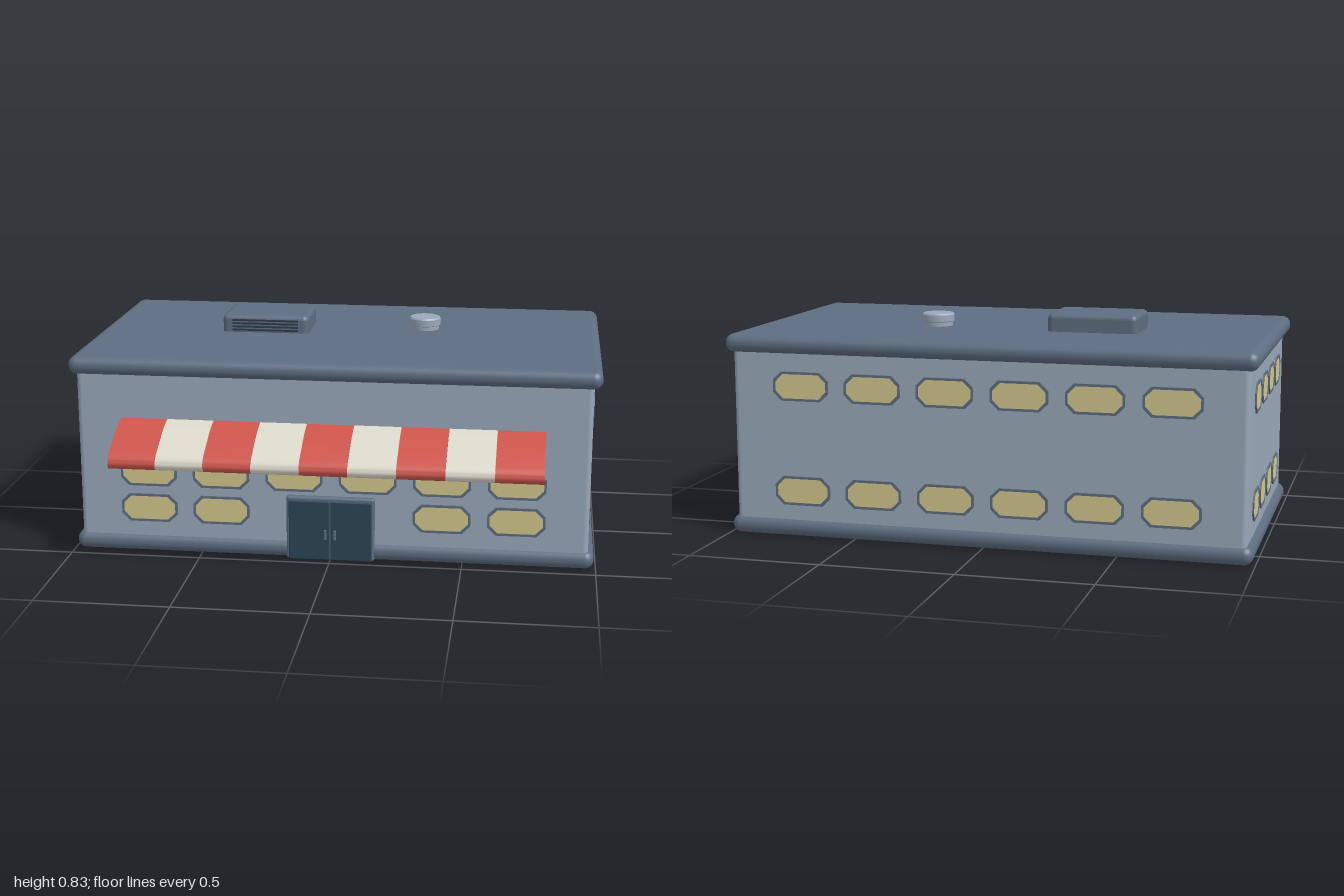
import * as THREE from 'three';
import { RoundedBoxGeometry } from 'three/addons/geometries/RoundedBoxGeometry.js';
import { toCreasedNormals } from 'three/addons/utils/BufferGeometryUtils.js';

const material = (name, color) => {
  const m = new THREE.MeshStandardMaterial({ color });
  m.name = name;
  return m;
};

export function createModel() {
  const wallGrey = material('wall grey', 0x9aa8ba);
  const slate = material('slate trim', 0x5d6d80);
  const glassYellow = material('window yellow', 0xd2c68c);
  const red = material('awning red', 0xcf554c);
  const cream = material('awning cream', 0xdcd9cc);
  const doorBlue = material('door blue', 0x2c4555);
  const dark = material('vent dark', 0x2f3b48);

  const model = new THREE.Group();
  model.name = 'shopBuilding';

  const add = (parent, name, geometry, mat, x = 0, y = 0, z = 0) => {
    const mesh = new THREE.Mesh(geometry, mat);
    mesh.name = name;
    mesh.position.set(x, y, z);
    parent.add(mesh);
    return mesh;
  };
  const rounded = (w, h, d, r) => new RoundedBoxGeometry(w, h, d, 4, r);

  // Walls between a rounded plinth and a rounded roof slab
  const midZ = -0.1;
  add(model, 'walls', rounded(1.94, 0.71, 1.09, 0.02), wallGrey, 0, 0.38, midZ);
  add(model, 'plinth', rounded(1.985, 0.07, 1.12, 0.034), slate, 0, 0.035, midZ);
  add(model, 'roof', rounded(2, 0.07, 1.13, 0.034), slate, 0, 0.73, midZ);

  // Windows: cut-corner frame with a slightly recessed pane
  const octagon = (Type, w, h, c) => {
    const x = w / 2, y = h / 2;
    return new Type([
      [-x + c, -y], [x - c, -y], [x, -y + c], [x, y - c],
      [x - c, y], [-x + c, y], [-x, y - c], [-x, -y + c],
    ].map(([a, b]) => new THREE.Vector2(a, b)));
  };
  const windowParts = (w, h) => {
    const frame = octagon(THREE.Shape, w, h, 0.032);
    frame.holes.push(octagon(THREE.Path, w - 0.018, h - 0.018, 0.029));
    const pane = octagon(THREE.Shape, w - 0.016, h - 0.016, 0.029);
    return [
      new THREE.ExtrudeGeometry(frame, { depth: 0.006, bevelEnabled: false }),
      new THREE.ExtrudeGeometry(pane, { depth: 0.004, bevelEnabled: false }),
    ];
  };
  const wide = windowParts(0.217, 0.11);
  const narrow = windowParts(0.174, 0.11);
  const addWindow = ([frame, pane], x, y, z, turn) => {
    const g = new THREE.Group();
    g.name = 'window';
    g.position.set(x, y, z);
    g.rotation.y = turn;
    add(g, 'windowFrame', frame, slate);
    add(g, 'windowPane', pane, glassYellow);
    model.add(g);
  };
  for (let i = 0; i < 6; i++) {
    const x = -0.7 + i * 0.28;
    addWindow(wide, x, 0.32, 0.445, 0);
    if (i !== 2 && i !== 3) addWindow(wide, x, 0.177, 0.445, 0);
    for (const y of [0.177, 0.575]) addWindow(wide, x, y, -0.645, Math.PI);
  }
  for (const side of [-1, 1]) {
    for (let i = 0; i < 4; i++) {
      for (const y of [0.177, 0.575]) {
        addWindow(narrow, side * 0.97, y, 0.22 - i * 0.213, side * Math.PI / 2);
      }
    }
  }

  // Striped awning: curved sheet with a drooping lip, profile in (z, y)
  const profile = new THREE.Shape();
  profile.moveTo(0.435, 0.533);
  profile.quadraticCurveTo(0.5, 0.525, 0.56, 0.493);
  profile.lineTo(0.645, 0.45);
  profile.quadraticCurveTo(0.668, 0.435, 0.668, 0.415);
  profile.quadraticCurveTo(0.665, 0.392, 0.645, 0.393);
  profile.quadraticCurveTo(0.63, 0.395, 0.625, 0.41);
  profile.quadraticCurveTo(0.61, 0.437, 0.585, 0.45);
  profile.quadraticCurveTo(0.5, 0.492, 0.435, 0.508);
  const stripeWidth = 1.6 / 9;
  const stripe = toCreasedNormals(
    new THREE.ExtrudeGeometry(profile, { depth: stripeWidth - 0.001, bevelEnabled: false, curveSegments: 6 })
      .rotateY(-Math.PI / 2), 0.8);
  const awning = new THREE.Group();
  awning.name = 'awning';
  for (let i = 0; i < 9; i++) {
    add(awning, 'awningStripe', stripe, i % 2 ? cream : red, -0.8 + (i + 1) * stripeWidth);
  }
  model.add(awning);

  // Double door with surround and handles
  const door = new THREE.Group();
  door.name = 'entrance';
  add(door, 'doorFrame', rounded(0.336, 0.25, 0.05, 0.01), slate, 0, 0.125, 0.439);
  for (const side of [-1, 1]) {
    add(door, 'doorLeaf', rounded(0.156, 0.233, 0.03, 0.004), doorBlue, side * 0.08, 0.118, 0.454);
    add(door, 'doorHandle', rounded(0.01, 0.04, 0.008, 0.003), slate, side * 0.018, 0.103, 0.472);
  }
  model.add(door);

  // Rooftop air unit with louvres on its front
  const unit = new THREE.Group();
  unit.name = 'airUnit';
  add(unit, 'airUnitCase', rounded(0.346, 0.09, 0.242, 0.022), slate, -0.328, 0.79, -0.166);
  for (let i = 0; i < 4; i++) {
    add(unit, 'louvre', new THREE.BoxGeometry(0.265, 0.007, 0.006), dark, -0.328, 0.775 + i * 0.013, -0.044);
  }
  model.add(unit);

  // Round roof vent with a wider cap
  const ventProfile = [[0.056, 0], [0.056, 0.018], [0.063, 0.021], [0.063, 0.046], [0.058, 0.052], [0, 0.052]]
    .map(([r, y]) => new THREE.Vector2(r, y));
  add(model, 'roofVent', toCreasedNormals(new THREE.LatheGeometry(ventProfile, 28), 0.6),
    wallGrey, 0.3, 0.763, -0.205);

  return model;
}
